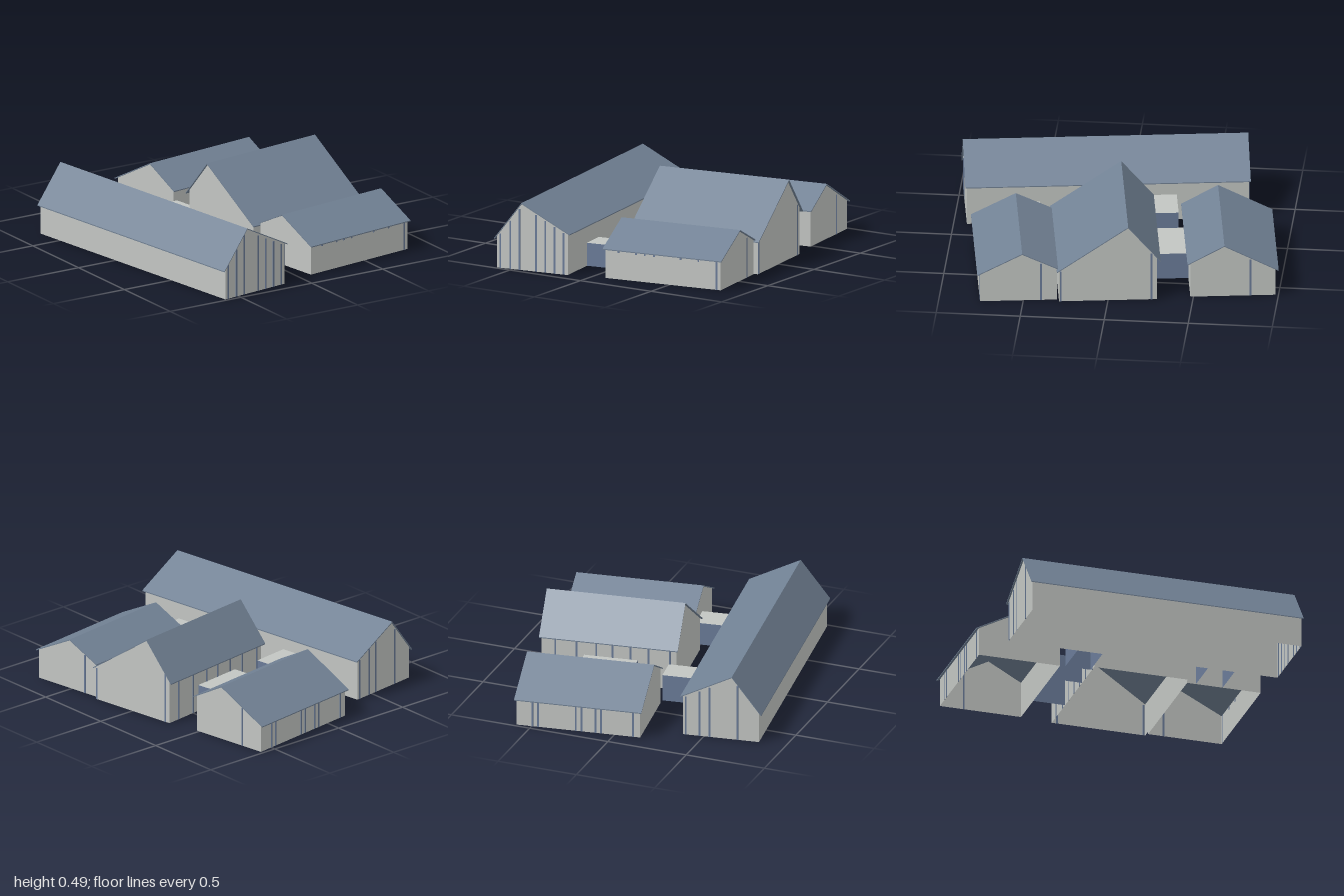
import * as THREE from 'three';

const mat = (name, color, side) => {
  const m = new THREE.MeshStandardMaterial({ color, side });
  m.name = name;
  return m;
};

export function createModel() {
  const wallMat = mat('pale wall', 0xc2c5c2, THREE.DoubleSide);
  const roofMat = mat('slate roof', 0x718194, THREE.DoubleSide);
  const glassMat = mat('blue glass', 0x6a7b98, THREE.DoubleSide);

  const model = new THREE.Group();
  model.name = 'farmstead';
  const plan = new THREE.Group(); // the whole plan is turned eight degrees
  plan.name = 'plan';
  plan.rotation.y = THREE.MathUtils.degToRad(8);
  model.add(plan);

  const add = (parent, name, geometry, material, x = 0, y = 0, z = 0) => {
    const m = new THREE.Mesh(geometry, material);
    m.name = name;
    m.position.set(x, y, z);
    parent.add(m);
    return m;
  };
  const polygon = (pts) => new THREE.Shape(pts.map(([x, y]) => new THREE.Vector2(x, y)));

  // Gabled house: profile across local x, length along local z, open below.
  // eave = [x, y] of the two roof edges, ridge = [x, y], walls = [x0, x1], ends = [z0, z1]
  function house({ name, eaves: [a, b], ridge: r, walls: [x0, x1], ends: [z0, z1], over,
    turned, gable0 = [], gable1 = [], side0 = [], side1 = [] }) {
    const g = new THREE.Group();
    g.name = name;
    if (turned) g.rotation.y = -Math.PI / 2;
    plan.add(g);
    const t = 0.006;
    const roofAt = (x) => {
      const e = x < r[0] ? a : b;
      return r[1] + (e[1] - r[1]) * (x - r[0]) / (e[0] - r[0]) - t;
    };

    // thin folded roof
    const band = polygon([a, r, b, [b[0], b[1] - t], [r[0], r[1] - t], [a[0], a[1] - t]]);
    add(g, 'roof', new THREE.ExtrudeGeometry(band, { depth: z1 - z0 + 2 * over, bevelEnabled: false }),
      roofMat, 0, 0, z0 - over);

    // gable walls
    const gable = new THREE.ShapeGeometry(polygon(
      [[x0, 0], [x1, 0], [x1, roofAt(x1)], [r[0], r[1] - t], [x0, roofAt(x0)]]));
    add(g, 'gableWall', gable.clone().rotateY(0), wallMat, 0, 0, z1);
    const back = gable.clone();
    back.scale(-1, 1, 1).rotateY(Math.PI);
    // reverse the winding so the far gable faces outwards
    const idx = back.index.array;
    for (let i = 0; i < idx.length; i += 3) [idx[i], idx[i + 1]] = [idx[i + 1], idx[i]];
    add(g, 'gableWall', back, wallMat, 0, 0, z0);

    // eave walls
    [[x0, -1], [x1, 1]].forEach(([x, s]) => {
      const h = roofAt(x);
      add(g, 'eaveWall', new THREE.PlaneGeometry(z1 - z0, h), wallMat, x, h / 2, (z0 + z1) / 2)
        .rotation.y = s * Math.PI / 2;
    });

    // slender windows: gables take x positions, eave walls take [z, sill]
    const w = 0.011, d = 0.004;
    [[gable0, z0], [gable1, z1]].forEach(([list, z]) => list.forEach((x) => {
      const h = roofAt(x) - 0.012;
      add(g, 'window', new THREE.BoxGeometry(w, h, d), glassMat, x, h / 2, z);
    }));
    [[side0, x0], [side1, x1]].forEach(([list, x]) => list.forEach(([z, sill = 0]) => {
      const h = roofAt(x) - sill;
      add(g, 'window', new THREE.BoxGeometry(d, h, w), glassMat, x, sill + h / 2, z);
    }));
  }

  house({
    name: 'longBarn', eaves: [[-0.747, 0.18], [-0.253, 0.25]], ridge: [-0.568, 0.41],
    walls: [-0.732, -0.268], ends: [-0.782, 0.892], over: 0.01,
    gable0: [-0.6, -0.43, -0.37, -0.285], gable1: [-0.71, -0.645, -0.585, -0.475, -0.415, -0.355, -0.295],
  });

  // The three cross buildings run along x; local z is minus x.
  house({
    name: 'backBarn', turned: true, eaves: [[-0.909, 0.17], [-0.368, 0.22]], ridge: [-0.587, 0.34],
    walls: [-0.89, -0.385], ends: [-0.722, 0.033], over: 0.011, gable0: [-0.742],
    side0: [-0.625, -0.59, -0.36, -0.325, -0.24, -0.205, -0.01].map((z) => [z]),
  });
  house({
    name: 'middleBarn', turned: true, eaves: [[-0.208, 0.26], [0.408, 0.2]], ridge: [-0.015, 0.49],
    walls: [-0.187, 0.395], ends: [-0.743, 0.08], over: 0.012, gable0: [-0.154, 0.385],
    side0: [-0.66, -0.53, -0.41, -0.31, -0.2, -0.09, 0.04].map((z) => [z]),
  });
  house({
    name: 'frontBarn', turned: true, eaves: [[0.4, 0.212], [0.879, 0.18]], ridge: [0.613, 0.315],
    walls: [0.405, 0.863], ends: [-0.719, 0.036], over: 0.011, gable0: [0.5],
    side1: [[-0.693], [-0.573, 0.16], [-0.456, 0.16], [-0.283, 0.16], [-0.222, 0.16],
      [-0.166, 0.16], [-0.05, 0.16]],
  });

  // Glazed passages with flat pale roofs; glass on the two open sides.
  function passage(name, x0, x1, z0, z1, h, alongX) {
    const g = new THREE.Group();
    g.name = name;
    g.position.set((x0 + x1) / 2, 0, (z0 + z1) / 2);
    plan.add(g);
    const w = x1 - x0, d = z1 - z0;
    add(g, 'flatRoof', new THREE.PlaneGeometry(w, d).rotateX(-Math.PI / 2), wallMat, 0, h, 0);
    for (const s of [-1, 1]) {
      const pane = add(g, 'glassWall', new THREE.PlaneGeometry(alongX ? w : d, h), glassMat,
        alongX ? 0 : s * w / 2, h / 2, alongX ? s * d / 2 : 0);
      pane.rotation.y = alongX ? (s > 0 ? 0 : Math.PI) : s * Math.PI / 2;
    }
  }
  passage('backLeftPassage', -0.268, -0.035, -0.353, -0.196, 0.165, true);
  passage('backPassage', 0.156, 0.484, -0.385, -0.187, 0.165, false);
  passage('frontPassage', -0.268, -0.036, 0.46, 0.626, 0.14, true);

  // end pane closing the passage that runs past the middle building
  add(plan, 'glassEnd', new THREE.PlaneGeometry(0.157, 0.165).rotateY(Math.PI / 2), glassMat,
    -0.035, 0.0825, -0.2745);

  return model;
}
